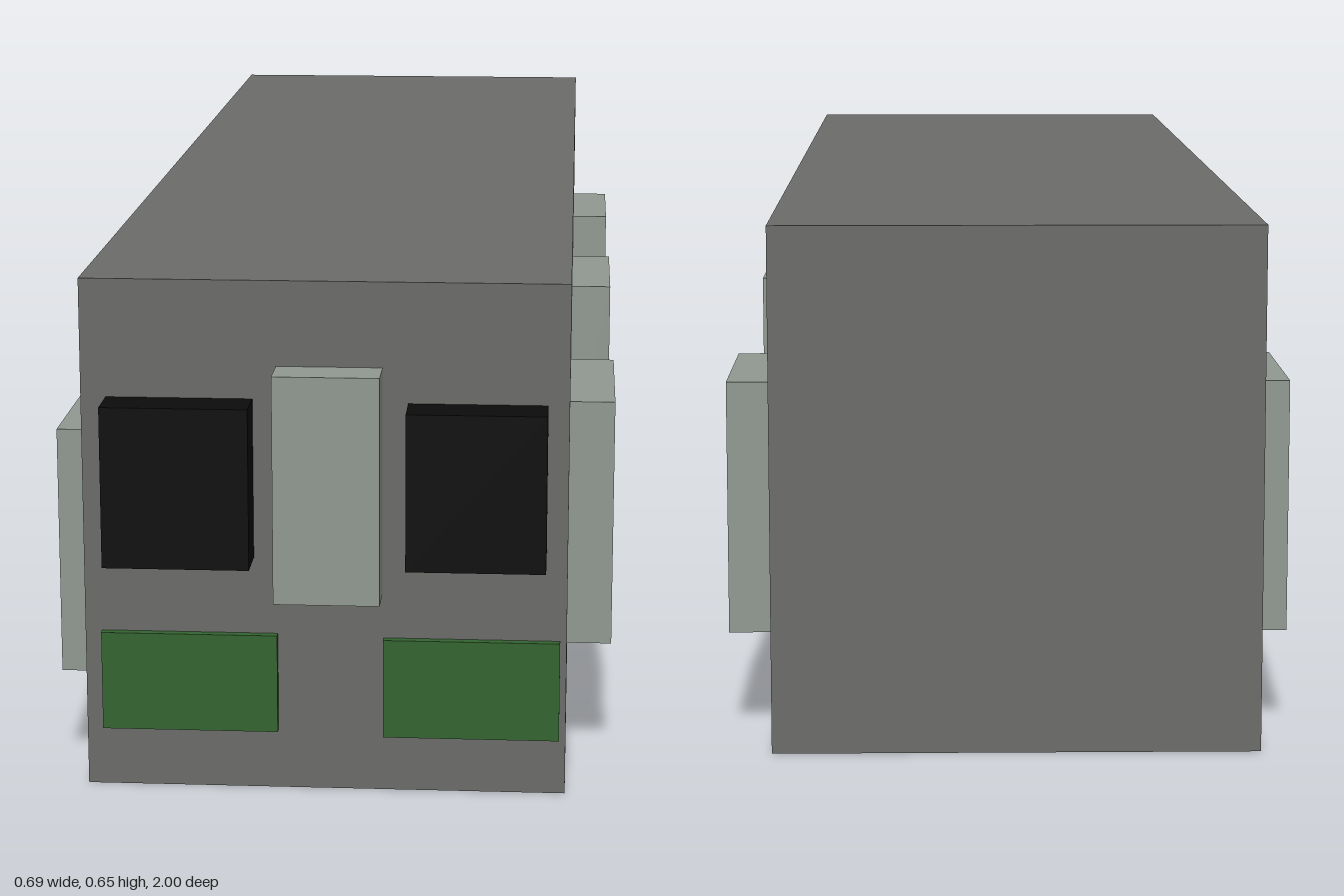
import * as THREE from 'three';

export function createModel() {
  const model = new THREE.Group();
  const mat = (color) => new THREE.MeshStandardMaterial({ color });
  const grey = mat(0x6b6c69);
  const pale = mat(0x919991);
  const green = mat(0x346430);
  const black = mat(0x0c0c0c);

  // Box given by its limits on each axis
  function block(name, material, [x0, x1], [y0, y1], [z0, z1]) {
    const mesh = new THREE.Mesh(new THREE.BoxGeometry(x1 - x0, y1 - y0, z1 - z0), material);
    mesh.position.set((x0 + x1) / 2, (y0 + y1) / 2, (z0 + z1) / 2);
    mesh.name = name;
    model.add(mesh);
  }

  // Carriage body
  const L = 0.289, R = -0.308, F = 0.943, sink = 0.01;
  block('body', grey, [R, L], [0, 0.646], [-1, F]);

  // Side doors: rear edge z and sill height
  for (const [z, y] of [[-0.915, 0.131], [-0.132, 0.163], [0.6, 0.163]])
    block('leftDoor', pale, [L - sink, 0.345], [y, y + 0.314], [z, z + 0.24]);
  for (const z of [-0.915, -0.13, 0.655])
    block('rightDoor', pale, [-0.347, R + sink], [0.131, 0.445], [z, z + 0.24]);

  // Green side panels: rear edge z and outer face x
  for (const [z, x] of [[-0.555, 0.309], [0.13, 0.294]])
    block('leftPanel', green, [L - sink, x], [0.153, 0.273], [z, z + 0.408]);
  for (const [z, x] of [[-0.61, -0.328], [0.19, -0.334]])
    block('rightPanel', green, [x, R + sink], [0.153, 0.273], [z, z + 0.408]);

  // Front end: windows, middle door and lower panels
  const proud = [F - sink, 1];
  block('frontWindowRight', black, [-0.277, -0.097], [0.298, 0.499], proud);
  block('frontWindowLeft', black, [0.093, 0.263], [0.3, 0.496], proud);
  block('frontDoor', pale, [-0.068, 0.062], [0.256, 0.54], proud);
  block('frontPanelRight', green, [-0.287, -0.068], [0.076, 0.201], [F - sink, 0.954]);
  block('frontPanelLeft', green, [0.063, 0.281], [0.072, 0.198], [F - sink, 0.954]);

  return model;
}
